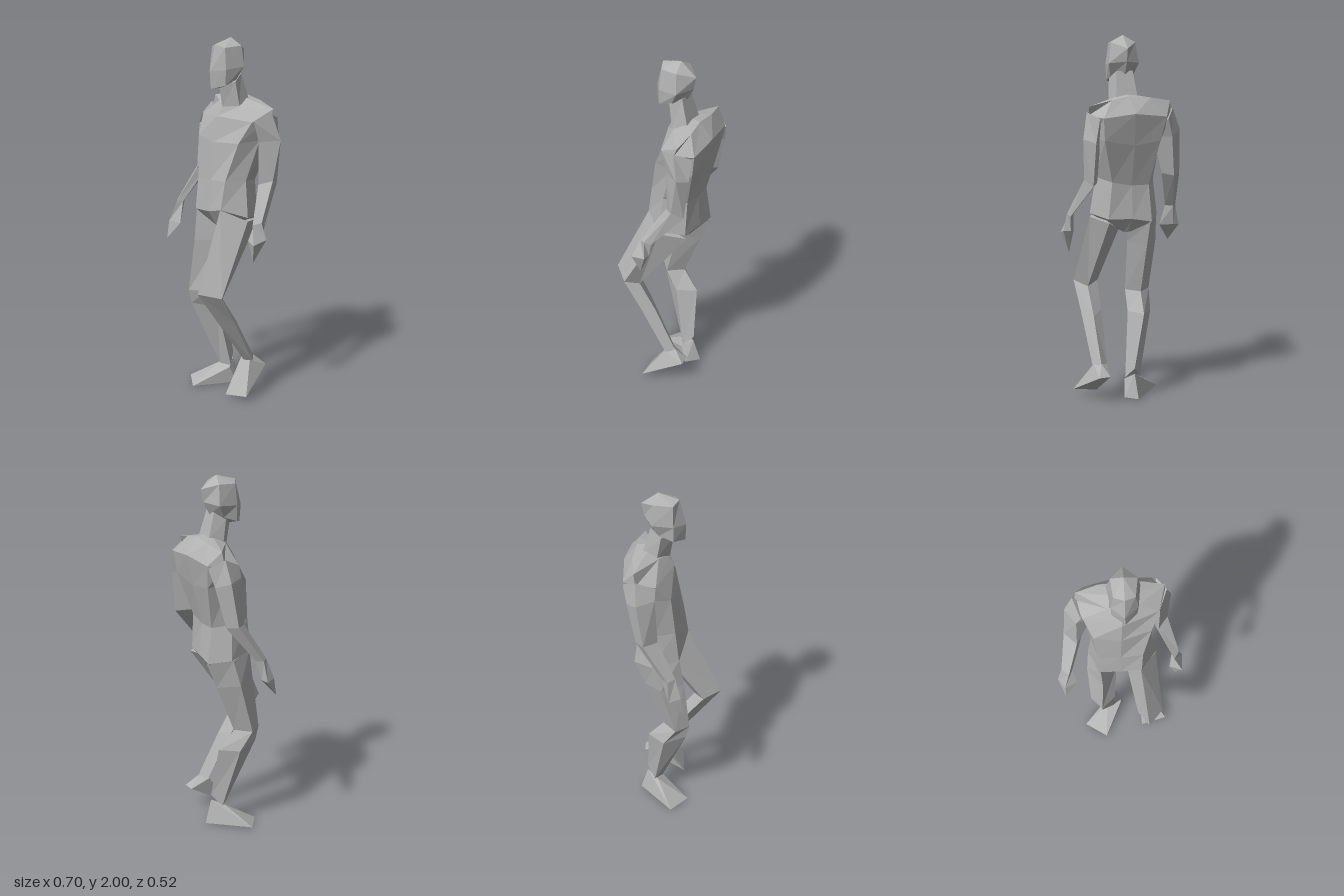
import * as THREE from 'three';
import { ConvexGeometry } from 'three/addons/geometries/ConvexGeometry.js';

const skin = new THREE.MeshStandardMaterial({ color: 0xb3b3b3 });
skin.name = 'plain grey';

// Faceted closed skin through rings of [x, y, z]; both ends close on a point.
function loft(rings, startTip, endTip) {
  const n = rings[0].length;
  const middle = (r) => [0, 1, 2].map((k) => r.reduce((s, p) => s + p[k], 0) / n);
  const first = startTip || middle(rings[0]);
  const last = endTip || middle(rings[rings.length - 1]);
  const tris = [];
  for (let i = 0; i < n; i++) {
    const j = (i + 1) % n;
    tris.push([first, rings[0][j], rings[0][i]]);
    for (let r = 0; r + 1 < rings.length; r++) {
      const a = rings[r], b = rings[r + 1];
      tris.push([a[i], a[j], b[j]], [a[i], b[j], b[i]]);
    }
    const e = rings[rings.length - 1];
    tris.push([e[i], e[j], last]);
  }
  // Turn the skin outward whichever way the rings run.
  const volume = tris.reduce((s, [a, b, c]) => s
    + a[0] * (b[1] * c[2] - b[2] * c[1])
    + a[1] * (b[2] * c[0] - b[0] * c[2])
    + a[2] * (b[0] * c[1] - b[1] * c[0]), 0);
  if (volume < 0) tris.forEach((t) => t.reverse());
  const g = new THREE.BufferGeometry();
  g.setAttribute('position', new THREE.Float32BufferAttribute(tris.flat(2), 3));
  g.computeVertexNormals();
  return g;
}

const hull = (pts) => new ConvexGeometry(pts.map((p) => new THREE.Vector3(...p)));

export function createModel() {
  const model = new THREE.Group();
  model.name = 'walkingFigure';
  const add = (name, geometry) => {
    const mesh = new THREE.Mesh(geometry, skin);
    mesh.name = name;
    model.add(mesh);
  };

  // Head: front centre, front left, side left, back, side right, front right
  add('head', loft([
    [[.025, 1.735, .065], [.085, 1.755, .015], [.085, 1.78, -.06], [.02, 1.79, -.115], [-.04, 1.78, -.06], [-.045, 1.755, .015]],
    [[.02, 1.83, .07], [.09, 1.84, .015], [.105, 1.85, -.098], [.02, 1.86, -.15], [-.065, 1.85, -.096], [-.048, 1.84, .015]],
    [[.02, 1.97, .035], [.075, 1.955, .01], [.09, 1.96, -.09], [.02, 1.93, -.165], [-.045, 1.96, -.09], [-.035, 1.955, .01]],
  ], [.022, 1.735, -.01], [.02, 2, -.075]));

  // Neck
  add('neck', loft([
    [[.02, 1.63, -.015], [.1, 1.64, -.07], [.08, 1.67, -.15], [-.04, 1.67, -.15], [-.055, 1.65, -.07]],
    [[.02, 1.75, .005], [.09, 1.77, -.05], [.065, 1.81, -.11], [-.025, 1.81, -.11], [-.045, 1.77, -.05]],
  ]));

  // Torso, crotch to collar: front, then round by the left side and back
  add('torso', loft([
    [[.01, .945, 0], [.03, .945, -.02], [.04, .945, -.06], [.03, .94, -.12], [.01, .94, -.13], [-.01, .94, -.12], [-.02, .945, -.06], [-.01, .945, -.02]],
    [[0, 1.055, .065], [.115, 1.085, .07], [.2, 1.04, -.05], [.13, 1.02, -.175], [0, 1.02, -.19], [-.11, 1, -.19], [-.175, 1.02, -.08], [-.12, 1.045, .06]],
    [[0, 1.23, .05], [.12, 1.24, .045], [.17, 1.24, -.06], [.11, 1.22, -.175], [0, 1.2, -.175], [-.1, 1.2, -.165], [-.155, 1.22, -.07], [-.12, 1.23, .04]],
    [[.005, 1.44, .035], [.165, 1.45, -.01], [.2, 1.46, -.13], [.17, 1.45, -.24], [0, 1.42, -.225], [-.15, 1.44, -.21], [-.19, 1.47, -.1], [-.14, 1.455, .02]],
    [[.01, 1.58, .01], [.205, 1.565, -.07], [.24, 1.58, -.17], [.18, 1.57, -.257], [.005, 1.59, -.258], [-.18, 1.57, -.225], [-.23, 1.58, -.15], [-.19, 1.56, -.05]],
    [[.02, 1.635, -.02], [.1, 1.64, -.08], [.24, 1.63, -.19], [.12, 1.66, -.2], [.02, 1.68, -.19], [-.1, 1.67, -.19], [-.22, 1.65, -.16], [-.06, 1.65, -.06]],
  ], null, [.02, 1.69, -.11]));

  // Arms, shoulder to fingertips: front, outer, back, inner
  add('leftArm', loft([
    [[.21, 1.565, -.08], [.25, 1.6, -.175], [.2, 1.57, -.255], [.18, 1.55, -.16]],
    [[.215, 1.455, -.11], [.28, 1.46, -.21], [.22, 1.44, -.25], [.17, 1.45, -.16]],
    [[.215, 1.22, -.11], [.265, 1.24, -.17], [.23, 1.21, -.228], [.187, 1.22, -.15]],
    [[.3, 1.03, 0], [.327, 1.04, -.04], [.315, 1.03, -.075], [.285, 1.04, -.03]],
    [[.345, .93, .03], [.35, .95, -.055], [.31, .95, -.06], [.275, .94, .01]],
  ], null, [.305, .82, 0]));
  add('rightArm', loft([
    [[-.2, 1.56, -.05], [-.24, 1.61, -.15], [-.19, 1.56, -.225], [-.16, 1.55, -.13]],
    [[-.225, 1.5, -.05], [-.285, 1.49, -.137], [-.22, 1.46, -.2], [-.145, 1.45, -.1]],
    [[-.23, 1.24, -.035], [-.298, 1.25, -.1], [-.25, 1.24, -.15], [-.2, 1.25, -.09]],
    [[-.285, 1.05, .07], [-.325, 1.05, .035], [-.3, 1.05, 0], [-.265, 1.05, .04]],
    [[-.31, .94, .105], [-.35, .935, .047], [-.31, .94, .03], [-.245, .935, .075]],
  ], null, [-.31, .84, .12]));

  // Legs, hip to ankle: front, outer, back, inner
  add('leftLeg', loft([
    [[.11, 1.085, .07], [.2, 1.02, -.05], [.13, 1, -.185], [.03, .95, -.04]],
    [[.155, .655, .26], [.237, .63, .16], [.17, .6, .1], [.095, .62, .165]],
    [[.16, .47, .13], [.222, .47, .06], [.165, .45, 0], [.105, .47, .06]],
    [[.16, .2, -.06], [.2, .2, -.09], [.16, .2, -.135], [.115, .2, -.09]],
  ]));
  add('rightLeg', loft([
    [[-.11, 1.045, .06], [-.175, 1.02, -.07], [-.1, 1, -.195], [-.01, .95, -.06]],
    [[-.1, .87, .085], [-.185, .87, -.03], [-.1, .85, -.135], [-.02, .87, -.03]],
    [[-.11, .58, .12], [-.173, .58, .05], [-.1, .58, -.03], [-.033, .58, .05]],
    [[-.11, .5, .1], [-.16, .47, -.02], [-.09, .47, -.12], [-.027, .47, -.02]],
    [[-.04, .12, -.05], [-.075, .11, -.09], [-.03, .17, -.14], [.01, .11, -.09]],
  ]));

  // Feet: left heel lifted, right foot flat and turned out
  add('leftFoot', hull([
    [.115, .2, -.08], [.19, .2, -.08], [.16, .21, -.135], [.125, .15, -.19], [.19, .15, -.198],
    [.28, .035, .02], [.135, .01, .05],
  ]));
  add('rightFoot', hull([
    [-.075, .11, -.07], [.01, .1, -.08], [-.03, .14, -.14], [-.04, .005, -.18], [.025, .005, -.12],
    [-.215, .01, .03], [-.09, 0, .11],
  ]));

  return model;
}
